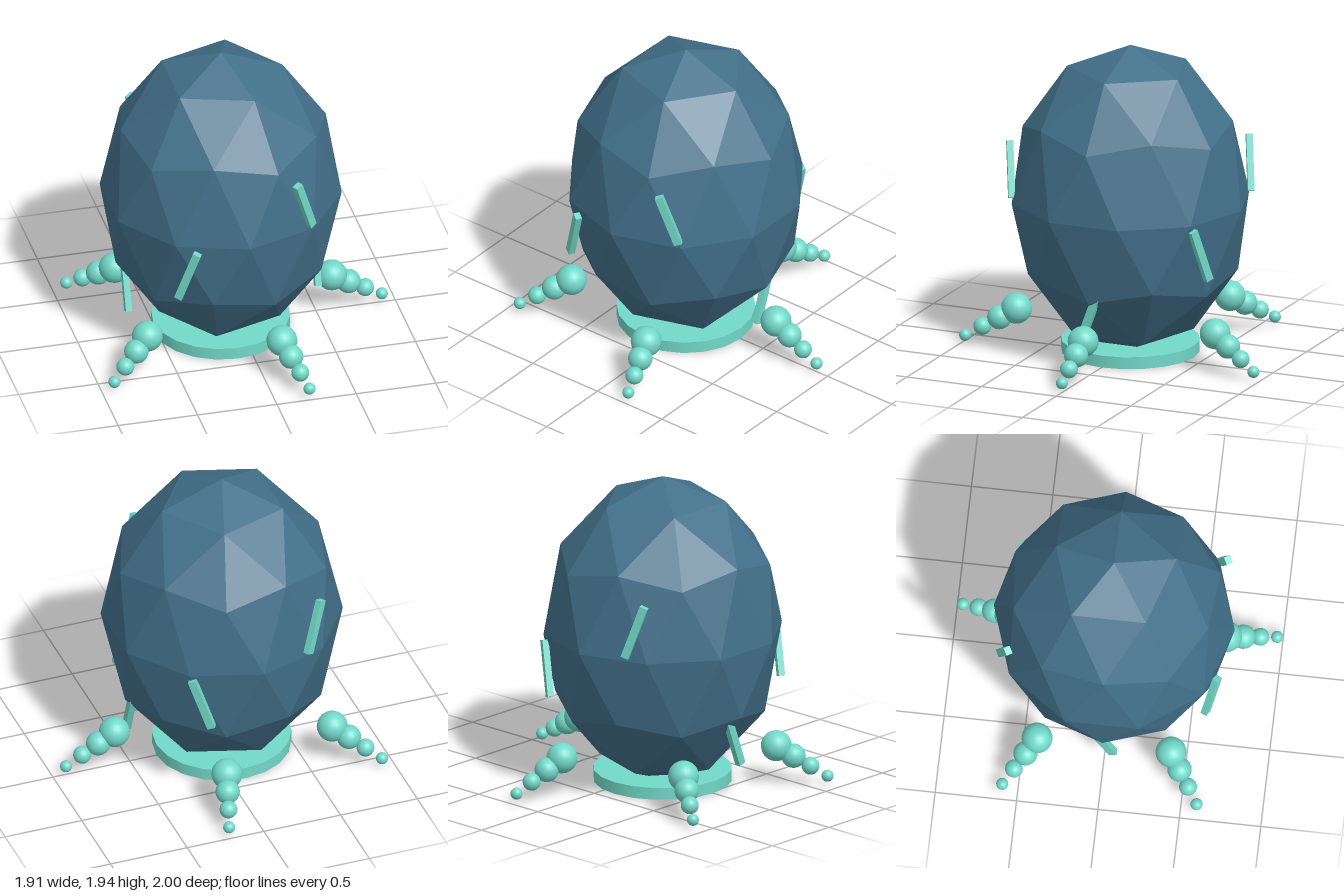
import * as THREE from 'three';

const CENTER_X = -0.1;
const BODY_R = 0.74;
const BODY_H = 0.97; // half height

export function createModel() {
  const shell = new THREE.MeshStandardMaterial({ color: 0x42708a });
  shell.name = 'deep blue shell';
  const teal = new THREE.MeshStandardMaterial({ color: 0x72d8c8 });
  teal.name = 'pale teal';

  const model = new THREE.Group();
  model.name = 'podModel';
  const add = (parent, geometry, material, name) => {
    const mesh = new THREE.Mesh(geometry, material);
    mesh.name = name;
    parent.add(mesh);
    return mesh;
  };

  // Faceted egg body with a five-sided pole pointing up
  const golden = (1 + Math.sqrt(5)) / 2;
  const bodyGeo = new THREE.IcosahedronGeometry(1, 1);
  bodyGeo.rotateZ(-Math.atan(1 / golden));
  bodyGeo.scale(BODY_R, BODY_H, BODY_R);
  bodyGeo.computeVertexNormals(); // unshared corners give flat facets
  add(model, bodyGeo, shell, 'body').position.set(CENTER_X, BODY_H, 0);

  // Round foot plate
  const base = add(model, new THREE.CylinderGeometry(0.425, 0.425, 0.075, 20), teal, 'base');
  base.position.set(CENTER_X, 0.0375, 0);

  // Group at the body's axis whose +x points outward at the given angle (from +x towards +z)
  const spoke = (name, angle) => {
    const group = new THREE.Group();
    group.name = name;
    group.position.x = CENTER_X;
    group.rotation.y = -angle;
    model.add(group);
    return group;
  };

  // Five tentacles, each a row of shrinking beads: [distance out, height, radius]
  const beads = [
    [0.7, 0.24, 0.095],
    [0.805, 0.18, 0.075],
    [0.91, 0.12, 0.055],
    [1.015, 0.06, 0.037],
  ];
  for (let i = 0; i < 5; i++) {
    const tentacle = spoke('tentacle', (i * Math.PI * 2) / 5);
    for (const [out, y, r] of beads) {
      add(tentacle, new THREE.SphereGeometry(r, 20, 14), teal, 'tentacleBead').position.set(out, y, 0);
    }
  }

  // Six slanted bars around the shell, stepping through three heights
  const heights = [0.38, 1.17, 0.775];
  const barGeo = new THREE.BoxGeometry(0.04, 0.35, 0.05);
  for (let i = 0; i < 6; i++) {
    const y = heights[i % 3];
    const out = BODY_R * Math.sqrt(1 - ((y - BODY_H) / BODY_H) ** 2) + 0.01;
    const bar = add(spoke('barMount', (i * Math.PI) / 3), barGeo, teal, 'slantedBar');
    bar.position.set(out, y, 0);
    bar.rotation.x = i % 2 ? 0.35 : -0.35;
  }

  return model;
}
